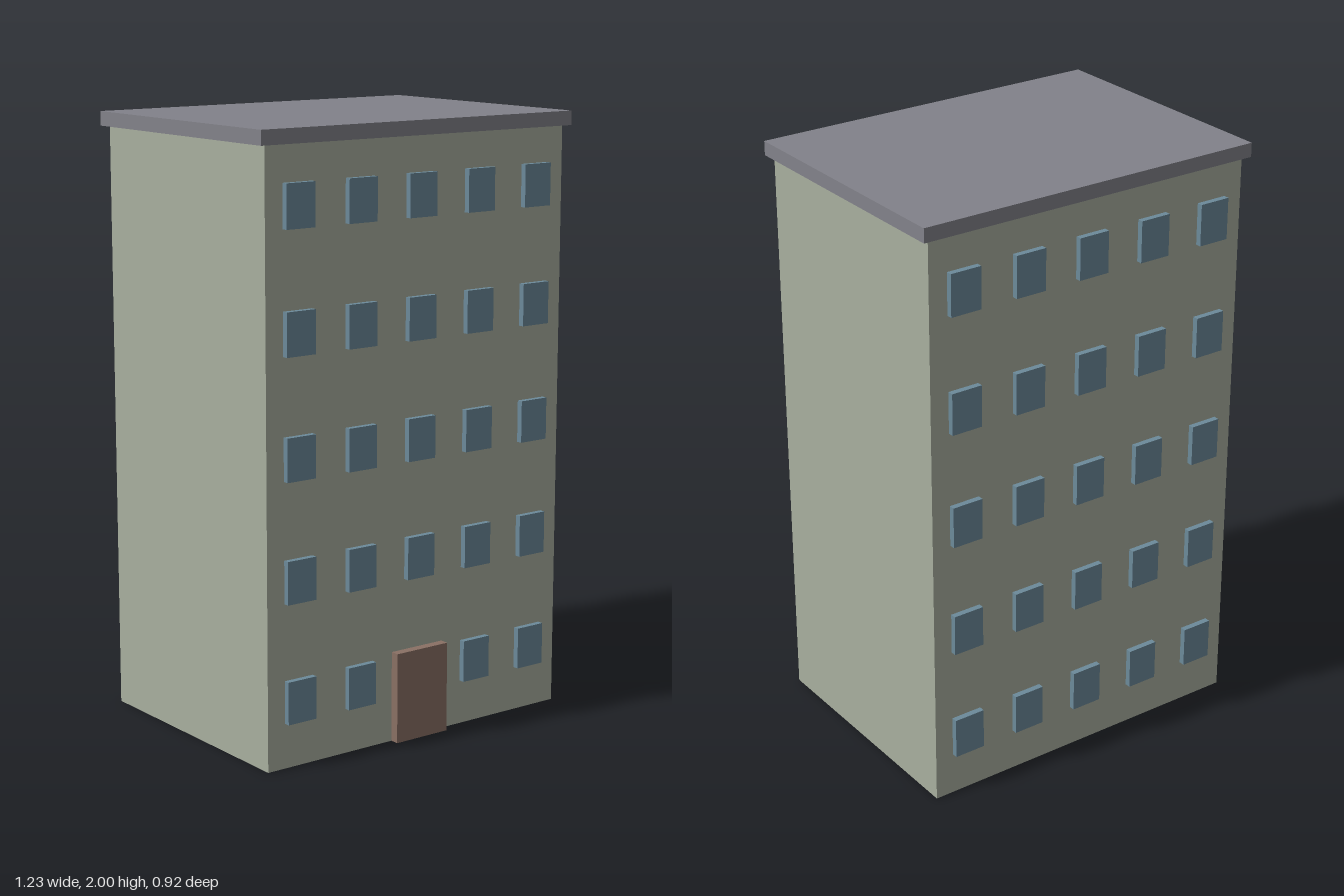
import * as THREE from 'three';

const mat = (name, color) => {
  const m = new THREE.MeshStandardMaterial({ color });
  m.name = name;
  return m;
};

export function createModel() {
  const building = new THREE.Group();
  building.name = 'apartmentBlock';
  const wall = mat('wall', 0xa8af9f);
  const slate = mat('roof', 0x82828a);
  const glass = mat('windowGlass', 0x6c8a9a);
  const wood = mat('doorWood', 0x8a7064);

  const box = (name, material, [w, h, d], [x, y, z]) => {
    const mesh = new THREE.Mesh(new THREE.BoxGeometry(w, h, d), material);
    mesh.name = name;
    mesh.position.set(x, y, z);
    building.add(mesh);
  };

  // Main block and overhanging flat roof
  const zMid = -0.005, halfDepth = 0.433;
  box('walls', wall, [1.184, 1.953, halfDepth * 2], [0, 0.9765, zMid]);
  box('roofSlab', slate, [1.232, 0.047, 0.9], [0, 1.9765, zMid]);

  // Entrance door
  box('door', wood, [0.206, 0.3, 0.03], [0, 0.15, zMid + halfDepth + 0.015]);

  // Five floors of five windows, front and back; the door takes one place
  for (const side of [1, -1]) {
    for (let floor = 0; floor < 5; floor++) {
      for (let col = -2; col <= 2; col++) {
        if (side === 1 && floor === 0 && col === 0) continue;
        box(side === 1 ? 'frontWindow' : 'backWindow', glass, [0.108, 0.139, 0.02],
          [col * 0.2365, 0.217 + floor * 0.3877, zMid + side * (halfDepth + 0.01)]);
      }
    }
  }
  return building;
}
